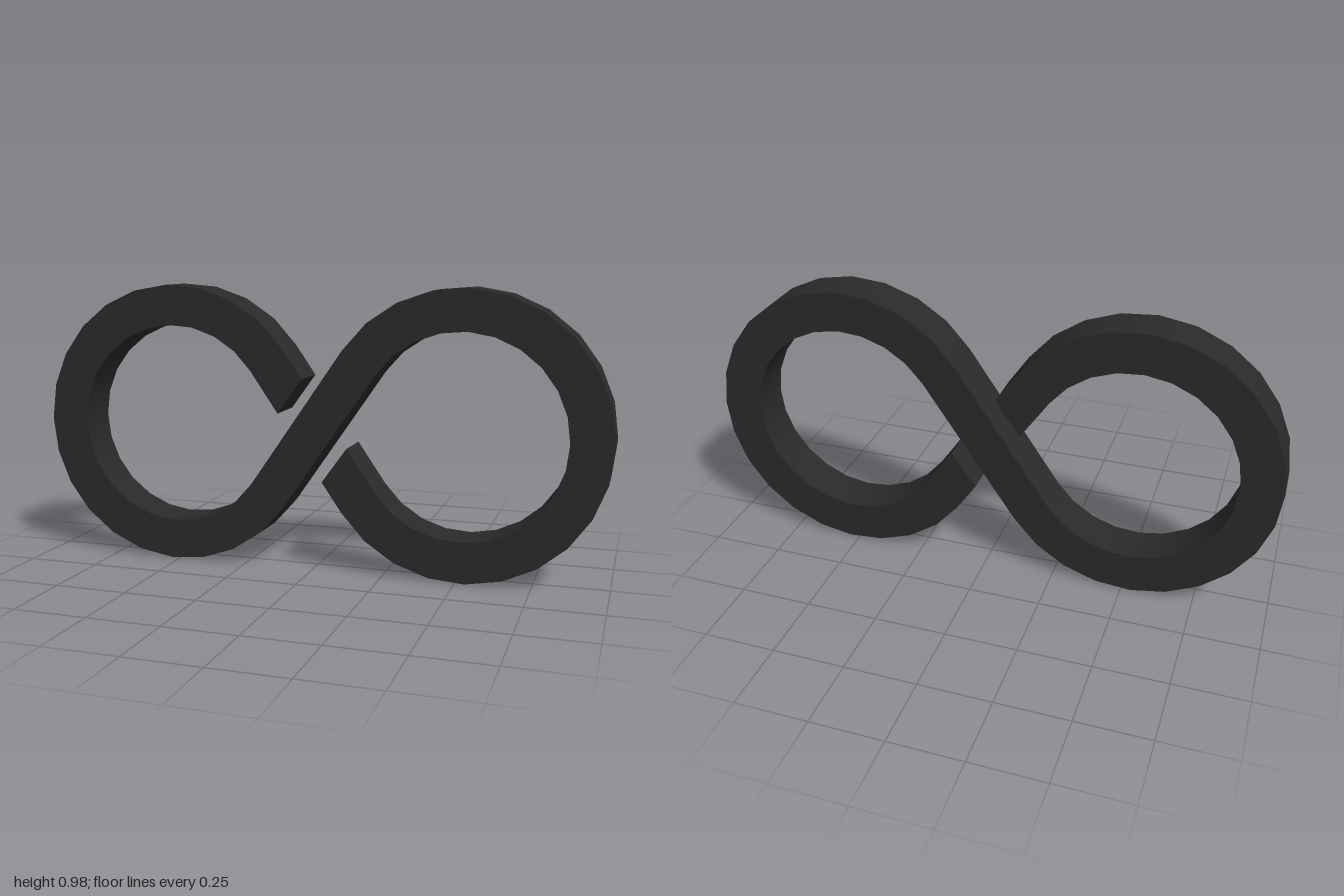
import * as THREE from 'three';
import { toCreasedNormals } from 'three/addons/utils/BufferGeometryUtils.js';

const CENTRE = 0.51, RADIUS = 0.42, HALF_WIDTH = 0.07, HEIGHT = 0.49, DEPTH = 0.154;
const SEGMENTS = 20;

// Angle of the straight crossing, tangent to both loops
const slope = Math.asin(RADIUS / CENTRE);
const sweep = Math.PI / 2 + slope;

// One edge of the right loop, clockwise from the crossing to the cut end.
// side is +1 for the outer edge, -1 for the inner; reach is the cut's distance along the arm.
function loopEdge(side, reach) {
  const r = RADIUS + side * HALF_WIDTH;
  const points = [];
  for (let i = 0; i <= SEGMENTS; i++) {
    const a = sweep * (1 - 2 * i / SEGMENTS);
    points.push(new THREE.Vector2(CENTRE + r * Math.cos(a), r * Math.sin(a)));
  }
  const off = side * HALF_WIDTH;
  points.push(new THREE.Vector2(
    -off * Math.sin(slope) + reach * Math.cos(slope),
    -off * Math.cos(slope) - reach * Math.sin(slope)));
  return points;
}

export function createModel() {
  const group = new THREE.Group();
  group.name = 'infinitySymbol';
  const charcoal = new THREE.MeshStandardMaterial({ color: 0x2a2a2a });
  charcoal.name = 'charcoal';

  // Right half of the ribbon, then the same half turned by 180 degrees
  const half = [...loopEdge(1, 0.165), ...loopEdge(-1, 0.115).reverse()];
  const outline = [...half, ...half.map((p) => p.clone().negate())];

  const extruded = new THREE.ExtrudeGeometry(new THREE.Shape(outline), { depth: DEPTH, bevelEnabled: false });
  extruded.translate(0, HEIGHT, -DEPTH / 2);
  const ribbon = new THREE.Mesh(toCreasedNormals(extruded, 0.5), charcoal);
  ribbon.name = 'loopedRibbon';
  group.add(ribbon);
  return group;
}
